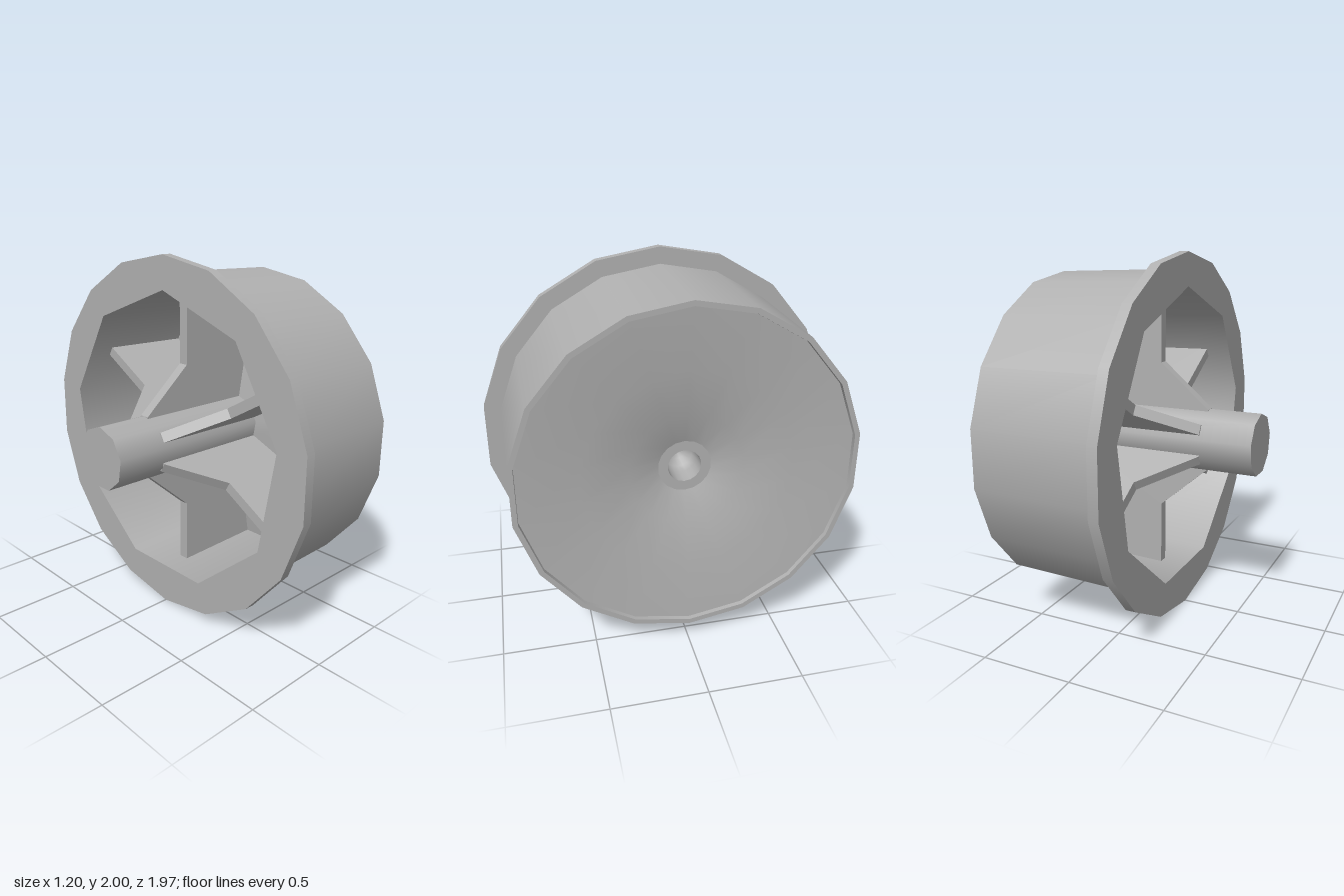
import * as THREE from 'three';

const grey = new THREE.MeshStandardMaterial({ color: 0xb0b0b0 });
grey.name = 'plain grey';

// Surface turned around the x axis; profile points are [radius, x], one vertex row at the top
function turned(name, profile, sides) {
  const geo = new THREE.LatheGeometry(
    profile.map(([r, x]) => new THREE.Vector2(r, x)), sides, -Math.PI / 2);
  geo.rotateZ(-Math.PI / 2);
  const mesh = new THREE.Mesh(geo, grey);
  mesh.name = name;
  return mesh;
}

// Regular polygon with a corner at the top
function polygon(radius, sides) {
  return Array.from({ length: sides }, (_, i) => {
    const a = (i / sides) * Math.PI * 2;
    return new THREE.Vector2(radius * Math.sin(a), radius * Math.cos(a));
  });
}

export function createModel() {
  const model = new THREE.Group();
  model.name = 'wheel';
  const body = new THREE.Group();
  body.name = 'wheelBody';
  body.position.y = 1;
  model.add(body);

  // Outer shell: flange, tapered tread and lip
  body.add(
    turned('flangeRim', [[1, -0.175], [1, -0.12]], 18),
    turned('flangeFront', [[1, -0.12], [0.91, -0.12]], 18),
    turned('tread', [[0.91, -0.12], [0.894, 0.6]], 18),
    turned('lip', [[0.894, 0.6], [0.867, 0.6]], 18),
    turned('lipInnerWall', [[0.867, 0.6], [0.865, 0.577]], 18));

  // Dished outer face with a blind axle hole
  body.add(
    turned('dishedFace', [[0.865, 0.577], [0.55, 0.55], [0.3, 0.508], [0.14, 0.455]], 18),
    turned('holeCollar', [[0.14, 0.455], [0.088, 0.455]], 18),
    turned('axleHole', [[0.088, 0.455], [0.086, 0.36], [0.075, 0.315], [0.045, 0.285], [0, 0.27]], 18));

  // Back of the flange: round outside, nine-sided opening
  const ring = new THREE.Shape(polygon(1, 18));
  ring.holes.push(new THREE.Path(polygon(0.82, 9)));
  const back = new THREE.Mesh(new THREE.ShapeGeometry(ring), grey);
  back.name = 'flangeBack';
  back.rotation.y = -Math.PI / 2;
  back.position.x = -0.175;
  body.add(back);

  // Hollow interior
  body.add(
    turned('innerWall', [[0.8, 0.5], [0.82, -0.175]], 9),
    turned('innerFace', [[0.12, 0.38], [0.8, 0.5]], 9));

  // Axle stub
  body.add(
    turned('axleStub', [[0.17, -0.6], [0.17, 0.42]], 9),
    turned('axleEnd', [[0, -0.6], [0.17, -0.6]], 9));

  // Six ribs joining axle and wall
  const outline = [[-0.31, 0.155], [-0.31, 0.168], [-0.03, 0.41], [-0.03, 0.84], [0.52, 0.84], [0.41, 0.155]];
  const ribGeo = new THREE.ExtrudeGeometry(
    new THREE.Shape(outline.map(([x, r]) => new THREE.Vector2(x, r))),
    { depth: 0.056, bevelEnabled: false });
  ribGeo.translate(0, 0, -0.028);
  for (let i = 0; i < 6; i++) {
    const rib = new THREE.Mesh(ribGeo, grey);
    rib.name = 'rib' + (i + 1);
    rib.rotation.x = (i * Math.PI) / 3;
    body.add(rib);
  }

  return model;
}
